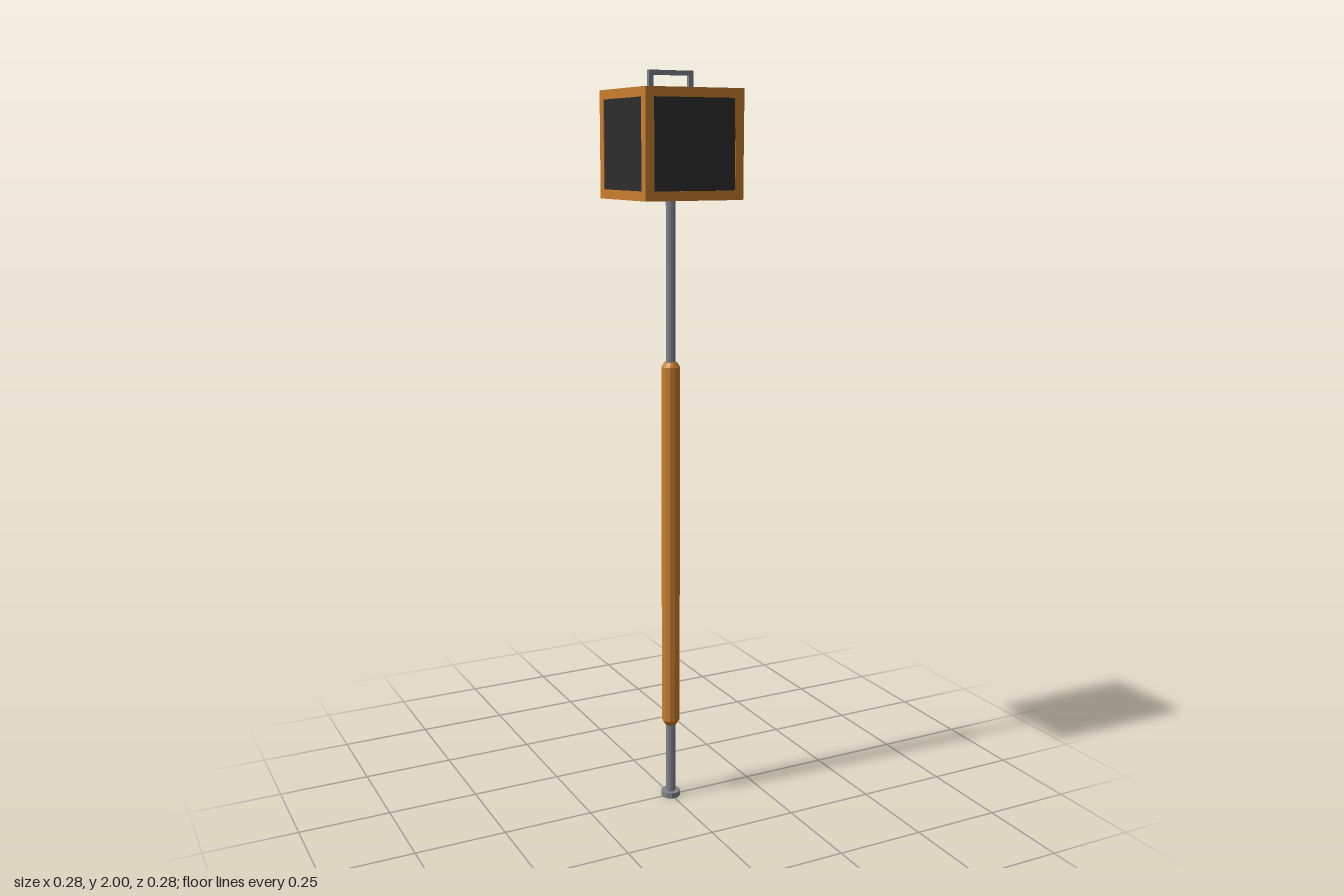
import * as THREE from 'three';

export function createModel() {
  const root = new THREE.Group();
  const mat = (name, color, flat = false) => {
    const m = new THREE.MeshStandardMaterial({ color, flatShading: flat });
    m.name = name;
    return m;
  };
  const wood = mat('orange wood', 0xc87f2e, true);
  const metal = mat('grey metal', 0x7f838b, true);
  const glass = mat('dark panel', 0x2d2d2d);

  const add = (name, geometry, material, x, y, z, parent = root) => {
    const mesh = new THREE.Mesh(geometry, material);
    mesh.name = name;
    mesh.position.set(x, y, z);
    parent.add(mesh);
    return mesh;
  };

  // Pole with a foot disc at the bottom
  add('pole', new THREE.CylinderGeometry(0.013, 0.013, 1.68, 12), metal, 0, 0.84, 0);
  add('foot', new THREE.CylinderGeometry(0.027, 0.027, 0.015, 10), metal, 0, 0.0075, 0).rotation.y = Math.PI / 2;

  // Faceted grip with chamfered ends
  const profile = [[0, 0.217], [0.016, 0.217], [0.025, 0.232], [0.025, 1.237], [0.017, 1.25], [0, 1.25]];
  add('grip', new THREE.LatheGeometry(profile.map(([r, y]) => new THREE.Vector2(r, y)), 12), wood, 0, 0, 0);

  // Lantern box: floor, roof, four corner posts
  const lantern = new THREE.Group();
  lantern.name = 'lantern';
  root.add(lantern);
  const half = 0.138, bar = 0.024, bottom = 1.677, top = 1.953;
  const inner = top - bottom - 2 * bar, midY = (top + bottom) / 2;
  const slab = new THREE.BoxGeometry(2 * half, bar, 2 * half);
  add('floor', slab, wood, 0, bottom + bar / 2, 0, lantern);
  add('roof', slab, wood, 0, top - bar / 2, 0, lantern);
  const post = new THREE.BoxGeometry(bar, inner, bar);
  for (const sx of [-1, 1]) for (const sz of [-1, 1])
    add('cornerPost', post, wood, sx * (half - bar / 2), midY, sz * (half - bar / 2), lantern);

  // Dark panels on the front and both sides; the back stays open
  const span = 2 * (half - bar);
  const panel = new THREE.BoxGeometry(span, inner, 0.008);
  const offset = half - 0.006;
  add('frontPanel', panel, glass, 0, midY, offset, lantern);
  for (const s of [-1, 1])
    add('sidePanel', panel, glass, s * offset, midY, 0, lantern).rotation.y = Math.PI / 2;

  // Carrying handle on the roof
  const handle = new THREE.Group();
  handle.name = 'handle';
  root.add(handle);
  const t = 0.012;
  add('handleBar', new THREE.BoxGeometry(0.126, t, t), metal, 0, 2 - t / 2, -0.002, handle);
  for (const s of [-1, 1])
    add('handleLeg', new THREE.BoxGeometry(t, 2 - t - top, t), metal, s * (0.063 - t / 2), (2 - t + top) / 2, -0.002, handle);

  return root;
}
